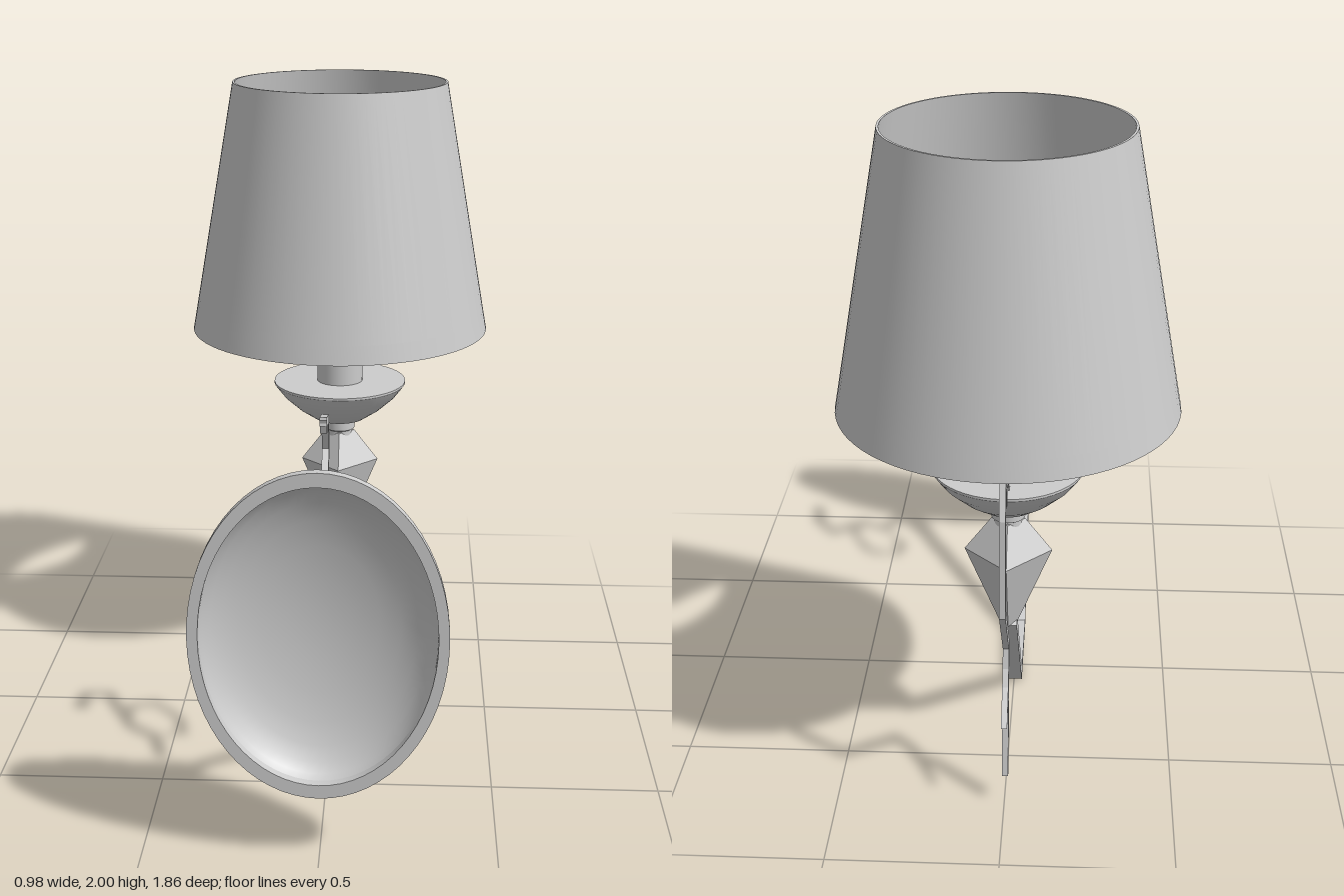
import * as THREE from 'three';
import { toCreasedNormals } from 'three/addons/utils/BufferGeometryUtils.js';

const grey = new THREE.MeshStandardMaterial({ color: 0xcccccc, side: THREE.DoubleSide });
grey.name = 'grey metal';
const AXIS_Z = -0.445; // centre line of the shade and candle

const vec = ([x, y]) => new THREE.Vector2(x, y);

function lathe(profile, segments = 64, crease = 0.6) {
  return toCreasedNormals(new THREE.LatheGeometry(profile.map(vec), segments), crease);
}

// Flat outline given as [z, y], extruded along x
function sidePlate(outline, width) {
  const geo = new THREE.ExtrudeGeometry(new THREE.Shape(outline.map(vec)), { depth: width, bevelEnabled: false });
  return geo.rotateY(-Math.PI / 2).translate(width / 2 - 0.003, 0, 0);
}

// Mitred strip following a [z, y] path, with a width for each end
function strip(path, w0, w1, depth) {
  const p = path.map(vec), a = [], b = [];
  p.forEach((q, i) => {
    const d0 = q.clone().sub(p[Math.max(i - 1, 0)]).normalize();
    const d1 = p[Math.min(i + 1, p.length - 1)].clone().sub(q).normalize();
    if (i === 0) d0.copy(d1);
    if (i === p.length - 1) d1.copy(d0);
    const t = d0.clone().add(d1).normalize();
    const cos = Math.max(t.dot(d1), 0.5);
    const h = THREE.MathUtils.lerp(w0, w1, i / (p.length - 1)) / 2 / cos;
    a.push([q.x - t.y * h, q.y + t.x * h]);
    b.unshift([q.x + t.y * h, q.y - t.x * h]);
  });
  return sidePlate([...a, ...b], depth);
}

export function createModel() {
  const model = new THREE.Group();
  const add = (name, geo, x = 0, y = 0, z = 0) => {
    const mesh = new THREE.Mesh(geo, grey);
    mesh.name = name;
    mesh.position.set(x, y, z);
    model.add(mesh);
  };

  // Oval wall plate: stepped rim and hollow dome
  const oval = (geo) => geo.rotateX(-Math.PI / 2).scale(0.35 / 0.475, 1, 1);
  add('wallPlateRim', oval(lathe([[0.435, 0.03], [0.435, 0], [0.475, 0], [0.475, 0.027], [0.435, 0.03]])), 0, 0.69, 0.928);
  add('wallPlateDome', oval(lathe([
    [0.437, 0.022], [0.425, 0.045], [0.4, 0.066], [0.36, 0.088], [0.3, 0.109],
    [0.22, 0.127], [0.12, 0.14], [0, 0.145],
  ], 64, 1)), 0, 0.69, 0.928);

  // Lampshade, a thin open cone with a hem
  add('lampshade', lathe([
    [0.482, 1.19], [0.49, 1.19], [0.479, 1.25], [0.346, 2], [0.339, 2], [0.482, 1.19],
  ], 72), 0, 0, AXIS_Z);

  // Candle sleeve, drip pan and neck
  add('candleSleeve', new THREE.CylinderGeometry(0.077, 0.077, 0.46, 32), 0, 1.22, AXIS_Z);
  add('dripPan', lathe([
    [0.05, 0.86], [0.085, 0.868], [0.14, 0.905], [0.19, 0.95], [0.213, 0.98], [0.222, 0.993], [0.222, 1.0], [0, 1.0],
  ], 48), 0, 0, AXIS_Z);
  add('neck', lathe([[0.042, 0.8], [0.042, 0.825], [0.05, 0.83], [0.05, 0.865]], 24), 0, 0, AXIS_Z);

  // Four-sided faceted drop
  add('facetedDrop', lathe([[0, 0.455], [0.025, 0.46], [0.13, 0.715], [0.05, 0.82], [0, 0.82]], 4, 0.01), 0, 0, AXIS_Z);

  // Main arm
  add('arm', sidePlate([
    [0.785, 0.85], [0.735, 0.6], [0.65, 0.54], [0.205, 0.04], [-0.085, 0.005],
    [-0.465, 0.46], [-0.435, 0.485], [-0.07, 0.037], [0.195, 0.058], [0.655, 0.575], [0.7, 0.7],
  ], 0.046));

  // Angular scrolls beside the wall plate
  add('frontScroll', strip([
    [0.68, 0.725], [0.58, 0.787], [0.57, 0.905], [0.425, 1.058], [0.472, 1.16], [0.565, 1.182],
  ], 0.026, 0.026, 0.02));
  add('frontScrollTip', sidePlate([[0.57, 1.19], [0.555, 1.145], [0.53, 1.14], [0.535, 1.175]], 0.02));
  add('frontScrollLoop', strip([
    [0.557, 0.938], [0.456, 0.936], [0.377, 0.83], [0.424, 0.694], [0.493, 0.668],
  ], 0.016, 0.022, 0.015));
  add('frontScrollBarb', sidePlate([[0.565, 0.755], [0.495, 0.64], [0.485, 0.67], [0.51, 0.69]], 0.015));

  // Angular scrolls behind the candle
  add('backScroll', strip([
    [-0.6, 1.005], [-0.668, 1.08], [-0.737, 1.035], [-0.768, 1.135], [-0.815, 1.016],
    [-0.823, 0.724], [-0.642, 0.507], [-0.66, 0.44], [-0.69, 0.39], [-0.682, 0.31], [-0.716, 0.103],
  ], 0.026, 0.028, 0.018));
  add('backScrollBarb', sidePlate([[-0.65, 0.455], [-0.78, 0.312], [-0.69, 0.37]], 0.018));

  return model;
}
